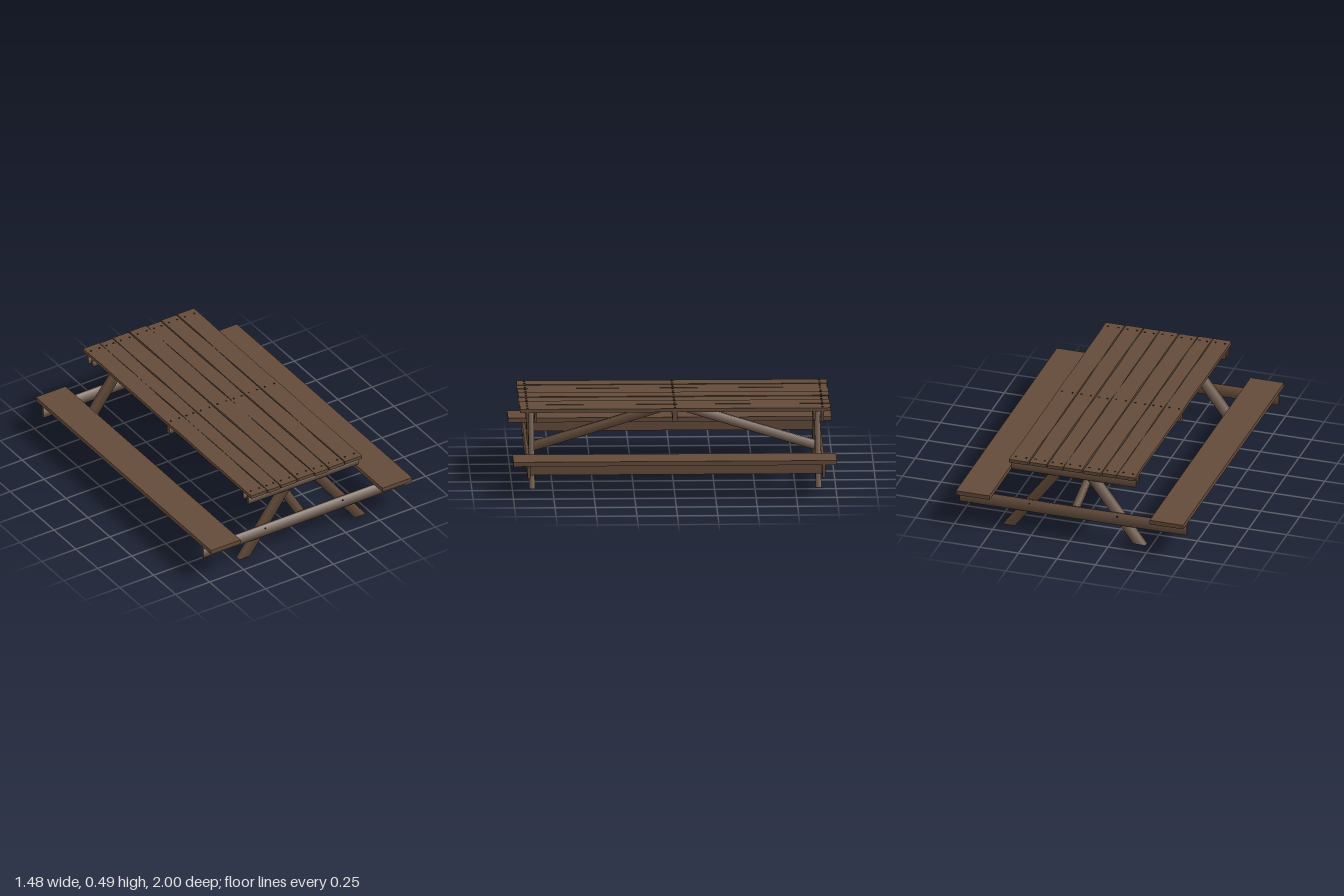
import * as THREE from 'three';

const wood = new THREE.MeshStandardMaterial({ color: 0x634b3a });
wood.name = 'brown wood';
const iron = new THREE.MeshStandardMaterial({ color: 0x2a201a });
iron.name = 'dark bolt';

export function createModel() {
  const model = new THREE.Group();
  model.name = 'picnicTable';
  const frame = new THREE.Group();
  frame.name = 'table';
  frame.position.z = -0.008;
  model.add(frame);

  function add(parent, name, geometry, x, y, z, material = wood) {
    const mesh = new THREE.Mesh(geometry, material);
    mesh.name = name;
    mesh.position.set(x, y, z);
    parent.add(mesh);
    return mesh;
  }

  // Beam with softly shaded long edges and flat ends; axis is its long direction
  function beam(w, h, d, axis) {
    const g = new THREE.BoxGeometry(w, h, d);
    const p = g.attributes.position, n = g.attributes.normal;
    const v = new THREE.Vector3();
    for (let i = 0; i < p.count; i++) {
      v.fromBufferAttribute(n, i);
      if (Math.abs(v[axis]) > 0.5) continue;
      v.set(Math.sign(p.getX(i)), Math.sign(p.getY(i)), Math.sign(p.getZ(i)));
      v[axis] = 0;
      v.normalize();
      n.setXYZ(i, v.x, v.y, v.z);
    }
    return g;
  }

  // Plank with slightly wavy long edges
  function plank(w, h, d, seed) {
    const g = new THREE.BoxGeometry(w, h, d, 1, 1, 28);
    const p = g.attributes.position;
    for (let i = 0; i < p.count; i++) {
      const x = p.getX(i), z = p.getZ(i);
      const wave = Math.sin(z * 7 + seed * 2.3) + Math.sin(z * 13 + seed * 4.1 + Math.sign(x));
      p.setX(i, x + 0.0012 * wave);
    }
    g.computeVertexNormals();
    return g;
  }

  // Table top planks with bolt heads
  const planks = [
    [-0.413, -0.297], [-0.292, -0.199], [-0.193, -0.076], [-0.07, 0.049],
    [0.055, 0.156], [0.162, 0.273], [0.279, 0.402],
  ];
  const bolt = new THREE.CylinderGeometry(0.006, 0.006, 0.004, 10);
  planks.forEach(([a, b], i) => {
    const x = (a + b) / 2, w = b - a;
    const top = 0.49 + 0.002 * Math.sin(i * 2.4 + 1);
    const shift = 0.003 * Math.sin(i * 1.9);
    add(frame, 'topPlank', plank(w, 0.022, 1.92, i), x, top - 0.011, shift);
    for (const z of [-0.912, 0, 0.912])
      for (const s of [-1, 1]) add(frame, 'topBolt', bolt, x + s * w * 0.27, top + 0.001, z, iron);
  });

  // Cleat under the middle of the top
  add(frame, 'middleCleat', beam(0.81, 0.062, 0.03, 'x'), 0, 0.439, 0);

  for (const end of [-1, 1]) {
    // Paired cleats either side of the leg tops
    add(frame, 'outerCleat', beam(0.812, 0.066, 0.017, 'x'), -0.003, 0.437, end * 0.9115);
    add(frame, 'innerCleat', beam(0.812, 0.055, 0.016, 'x'), -0.003, 0.442, end * 0.86);

    // Cross beam carrying both seats
    add(frame, 'crossBeam', beam(1.478, 0.077, 0.018, 'x'), 0, 0.163, end * 0.912);

    // Splayed legs with level feet
    for (const side of [-1, 1]) {
      const leg = beam(0.08, 0.468, 0.035, 'y');
      leg.applyMatrix4(new THREE.Matrix4().set(
        1, -0.75 * side, 0, 0,
        0, 1, 0, 0,
        0, 0, 1, 0,
        0, 0, 0, 1));
      add(frame, 'leg', leg, side * 0.2495, 0.234, end * 0.8855);

      // Bolts through cross beam
      const pin = add(frame, 'beamBolt', bolt, side * 0.285, 0.18, end * 0.922, iron);
      pin.rotation.x = Math.PI / 2;
    }

    // Sloping brace from the middle cleat to the cross beam
    const brace = beam(0.036, 0.058, 0.903, 'z');
    brace.applyMatrix4(new THREE.Matrix4().set(
      1, 0, 0, 0,
      0, 1, -0.305 * end, 0,
      0, 0, 1, 0,
      0, 0, 0, 1));
    add(frame, 'brace', brace, 0, 0.298, end * 0.4515);
  }

  // Seats, each with a stiffening rail beneath
  for (const side of [-1, 1]) {
    add(model, 'seat', new THREE.BoxGeometry(0.218, 0.028, 2), side * 0.63, 0.217, 0);
    add(frame, 'seatRail', new THREE.BoxGeometry(0.045, 0.075, 1.806), side * 0.63, 0.167, 0);
  }

  return model;
}
